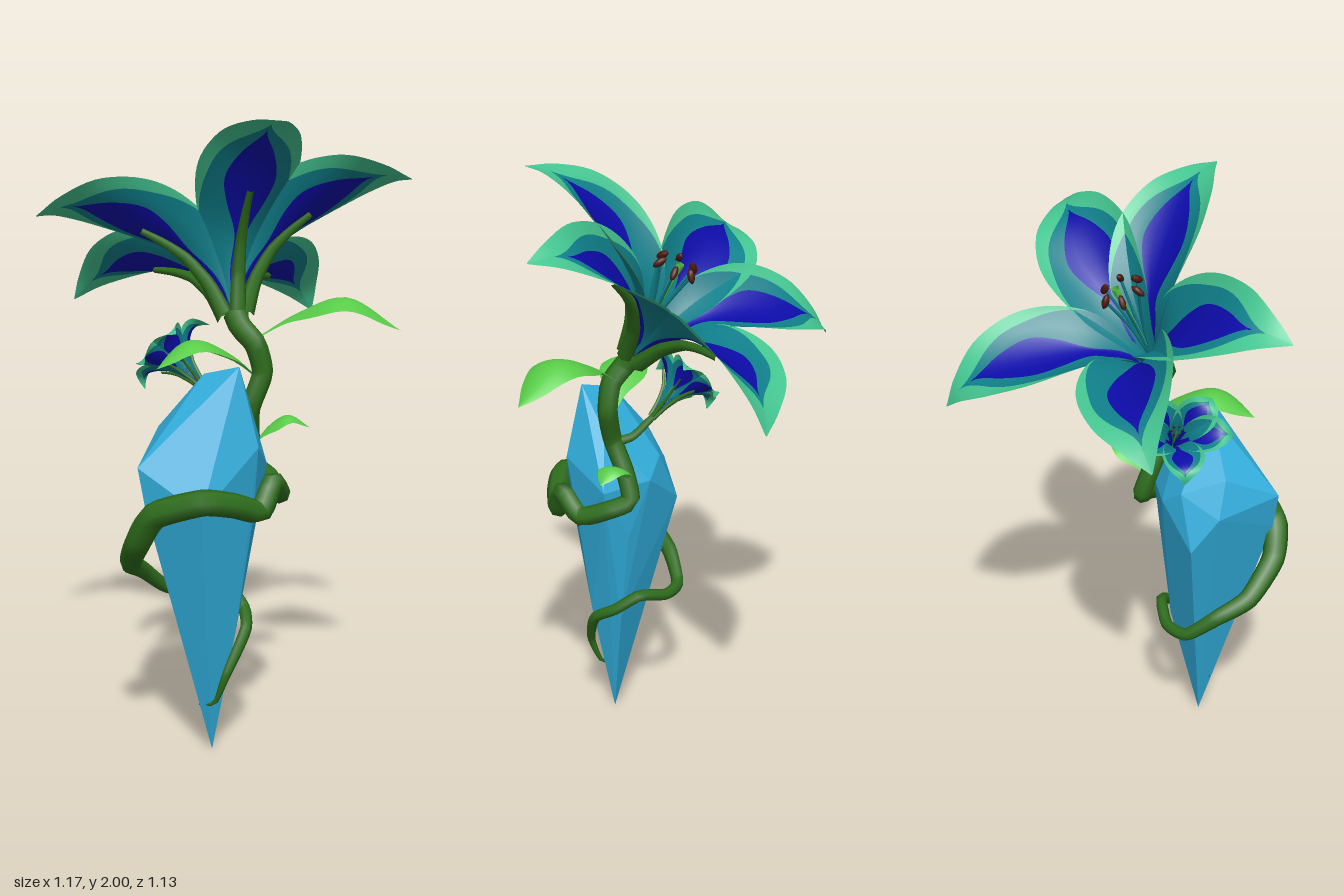
import * as THREE from 'three';
import { ConvexGeometry } from 'three/addons/geometries/ConvexGeometry.js';

const V = (x, y, z) => new THREE.Vector3(x, y, z);
const mat = (name, color, extra = {}) => {
  const m = new THREE.MeshStandardMaterial({ color, ...extra });
  m.name = name;
  return m;
};
const open = { side: THREE.DoubleSide };
const M = {
  rim: mat('petal green', 0x44c490, open),
  teal: mat('petal teal', 0x0f7f8a, open),
  blue: mat('petal blue', 0x0c0ba8, open),
  stem: mat('stem green', 0x2e6c1c),
  leaf: mat('leaf green', 0x58cc48, open),
  anther: mat('anther brown', 0x4c1a10),
  crystal: mat('crystal blue', 0x30acda, { flatShading: true }),
};

function add(parent, name, geometry, material) {
  const mesh = new THREE.Mesh(geometry, material);
  mesh.name = name;
  parent.add(mesh);
  return mesh;
}

// Smooth (Hermite) interpolation through [t, value] pairs, never negative
function ramp(keys) {
  const slope = (i) => {
    const a = keys[Math.max(i - 1, 0)], b = keys[Math.min(i + 1, keys.length - 1)];
    return (b[1] - a[1]) / (b[0] - a[0]);
  };
  return (t) => {
    let i = 0;
    while (i < keys.length - 2 && t > keys[i + 1][0]) i++;
    const [a, va] = keys[i], [b, vb] = keys[i + 1], h = b - a;
    const s = Math.min((t - a) / h, 1), r = 1 - s;
    return Math.max(0, r * r * (1 + 2 * s) * va + s * s * (3 - 2 * s) * vb
      + h * s * r * (r * slope(i) - s * slope(i + 1)));
  };
}

// Grid surface; bandOf(column) chooses the material index
function sheet(rows, cols, point, bandOf) {
  const pos = [], index = [], lists = [[], [], []];
  for (let i = 0; i <= rows; i++)
    for (let j = 0; j <= cols; j++) pos.push(...point(i / rows, j).toArray());
  for (let i = 0; i < rows; i++)
    for (let j = 0; j < cols; j++) {
      const a = i * (cols + 1) + j, b = a + cols + 1;
      lists[bandOf(j)].push(a, a + 1, b, a + 1, b + 1, b);
    }
  const g = new THREE.BufferGeometry();
  lists.forEach((list, k) => {
    g.addGroup(index.length, list.length, k);
    index.push(...list);
  });
  g.setAttribute('position', new THREE.Float32BufferAttribute(pos, 3));
  g.setIndex(index);
  g.computeVertexNormals();
  return g;
}

// Tube whose radius varies along its length
function taperTube(points, radius, segments = 24, sides = 7) {
  const curve = new THREE.CatmullRomCurve3(points, false, 'catmullrom', 0.3);
  const g = new THREE.TubeGeometry(curve, segments, 1, sides, false);
  const p = g.attributes.position, v = V(0, 0, 0);
  for (let i = 0; i < p.count; i++) {
    const t = Math.floor(i / (sides + 1)) / segments;
    const c = curve.getPointAt(t);
    v.fromBufferAttribute(p, i).sub(c).multiplyScalar(radius(t)).add(c);
    p.setXYZ(i, v.x, v.y, v.z);
  }
  return g;
}

// Petal: trumpet profile in (outward z, axis y) with a drooping tip and nested colour bands
const profile = new THREE.CatmullRomCurve3([
  V(0, 0, 0.012), V(0, 0.1, 0.055), V(0, 0.205, 0.14), V(0, 0.29, 0.3),
  V(0, 0.335, 0.46), V(0, 0.322, 0.56), V(0, 0.285, 0.625),
]);
const petalWidth = ramp([[0, 0.018], [0.16, 0.055], [0.36, 0.128], [0.57, 0.16], [0.75, 0.128], [0.9, 0.054], [1, 0.002]]);
const blueBand = ramp([[0, 0.45], [0.15, 0.38], [0.3, 0.15], [0.45, 0.4], [0.56, 0.5], [0.7, 0.34], [0.83, 0], [1, 0]]);
const tealBand = ramp([[0, 1], [0.3, 1], [0.55, 0.82], [0.72, 0.66], [0.89, 0], [1, 0]]);

function petalGeometry(breadth) {
  return sheet(36, 12, (t, j) => {
    const b1 = blueBand(t), b2 = Math.min(1, Math.max(tealBand(t), b1));
    const steps = [0, b1 / 2, b1, (b1 + b2) / 2, b2, (1 + b2) / 2, 1];
    const u = Math.sign(j - 6) * steps[Math.abs(j - 6)];
    const w = petalWidth(t), p = profile.getPointAt(t), d = profile.getTangentAt(t);
    const cup = w * u * u * (0.85 - 0.8 * t);
    return V(breadth * w * u, p.y + d.z * cup, p.z - d.y * cup);
  }, (j) => [2, 2, 1, 1, 0, 0, 0, 0, 1, 1, 2, 2][j]);
}

// Flower opening along its own y axis
function createFlower(name, breadth) {
  const flower = new THREE.Group();
  flower.name = name;
  const petal = petalGeometry(breadth);
  const ribPath = [0, 0.15, 0.3, 0.42, 0.53].map((t) => {
    const p = profile.getPointAt(t), d = profile.getTangentAt(t), gap = 0.025 - 0.02 * t;
    return V(0, p.y - d.z * gap, p.z + d.y * gap);
  });
  const rib = taperTube(ribPath, (t) => 0.028 - 0.018 * t, 12, 6);
  for (const degrees of [0, 86, 137.5, 223, 275]) {
    const a = THREE.MathUtils.degToRad(degrees);
    add(flower, 'petal', petal, [M.blue, M.teal, M.rim]).rotation.y = a;
    add(flower, 'petalRib', rib, M.stem).rotation.y = a;
  }
  // Stamens around a central pistil, leaning a little
  const centre = new THREE.Group();
  centre.name = 'stamens';
  centre.rotation.set(-0.13, 0, 0.13);
  flower.add(centre);
  const filament = taperTube([V(0, 0.02, 0), V(0, 0.2, 0.022), V(0, 0.34, 0.06)], () => 0.005, 8, 5);
  const anther = new THREE.SphereGeometry(1, 8, 6);
  for (let k = 0; k < 6; k++) {
    const stamen = new THREE.Group();
    stamen.name = 'stamen';
    stamen.rotation.y = 0.4 + (k * Math.PI) / 3;
    add(stamen, 'filament', filament, M.teal);
    const tip = add(stamen, 'anther', anther, M.anther);
    tip.scale.set(0.011, 0.012, 0.025);
    tip.position.set(0, 0.345, 0.061);
    tip.rotation.x = 0.9;
    centre.add(stamen);
  }
  add(centre, 'pistil', taperTube([V(0, 0, 0), V(0, 0.2, 0.005), V(0, 0.36, 0.015)],
    (t) => 0.007 + 0.03 * Math.max(0, t - 0.8), 10, 6), M.leaf);
  return flower;
}

// Leaf blade along a path, edges curving down from the midrib
function leafGeometry(points, half) {
  const curve = new THREE.CatmullRomCurve3(points);
  const side = points[points.length - 1].clone().sub(points[0]).cross(V(0, 1, 0)).normalize();
  const width = ramp([[0, 0.08], [0.2, 0.3], [0.5, 1], [0.8, 0.6], [1, 0.01]]);
  return sheet(18, 6, (t, j) => {
    const u = (j - 3) / 3, w = half * width(t);
    return curve.getPointAt(t).addScaledVector(side, u * w).add(V(0, -w * 0.35 * u * u, 0));
  }, () => 0);
}

export function createModel() {
  const model = new THREE.Group();
  model.name = 'crystalFlower';

  // Faceted crystal
  add(model, 'crystal', new ConvexGeometry([
    V(0.08, 0, 0.29), V(0.18, 1.265, 0.3), V(0.06, 1.235, 0.3),
    V(-0.09, 1.06, 0.32), V(-0.14, 0.94, 0.29), V(-0.135, 0.82, 0.2),
    V(-0.06, 0.97, 0.51), V(-0.04, 0.84, 0.5), V(0.14, 0.84, 0.48),
    V(0.245, 1.02, 0.3), V(0.22, 0.8, 0.28), V(0.15, 1.12, 0.21),
    V(0.02, 0.94, 0.13), V(0.2, 0.93, 0.135), V(0.1, 0.74, 0.145),
    V(-0.05, 1.0, 0.18), V(0.11, 0.42, 0.185), V(0.165, 0.42, 0.29),
  ]), M.crystal);

  // Stem and vine winding round the crystal
  add(model, 'vine', taperTube([
    V(0.08, 1.4, 0.12), V(0.11, 1.36, 0.14), V(0.16, 1.31, 0.14), V(0.18, 1.22, 0.13),
    V(0.15, 1.11, 0.155), V(0.13, 1.0, 0.11), V(0.13, 0.91, 0.08), V(0.2, 0.88, 0.11),
    V(0.265, 0.85, 0.18), V(0.28, 0.91, 0.27), V(0.265, 0.83, 0.33), V(0.22, 0.86, 0.41),
    V(0.15, 0.88, 0.49), V(0, 0.83, 0.52), V(-0.07, 0.73, 0.5), V(-0.15, 0.63, 0.4),
    V(-0.16, 0.57, 0.29), V(-0.13, 0.49, 0.19), V(-0.05, 0.485, 0.14), V(0.06, 0.51, 0.14),
    V(0.14, 0.46, 0.18), V(0.18, 0.41, 0.25), V(0.15, 0.28, 0.33), V(0.11, 0.18, 0.33),
    V(0.05, 0.16, 0.32),
  ], ramp([[0, 0.038], [0.15, 0.032], [0.3, 0.034], [0.5, 0.043], [0.6, 0.036], [0.72, 0.022], [0.9, 0.018], [1, 0.003]]),
  110, 7), M.stem);

  // Main flower, tipped back and to one side
  const axis = V(-0.33, 0.81, -0.49).normalize();
  const across = axis.clone().cross(V(0.118, -0.481, -0.87)).normalize();
  const main = createFlower('mainFlower', 1);
  main.quaternion.setFromRotationMatrix(
    new THREE.Matrix4().makeBasis(across, axis, across.clone().cross(axis)));
  main.position.set(0.08, 1.4, 0.12);
  model.add(main);

  // Small half-open flower on a side shoot
  const small = createFlower('smallFlower', 1.5);
  small.quaternion.setFromUnitVectors(V(0, 1, 0), V(-0.76, 0.65, 0).normalize());
  small.rotateY(-Math.PI / 2);
  small.scale.set(0.28, 0.53, 0.25);
  small.position.set(-0.01, 1.16, 0.155);
  model.add(small);
  add(model, 'sideShoot', taperTube([V(0.15, 1.1, 0.15), V(0.08, 1.11, 0.14), V(-0.02, 1.165, 0.155)],
    (t) => 0.018 - 0.006 * t, 12, 6), M.stem);

  // Leaves
  [
    [[V(0.16, 1.33, 0.13), V(0.28, 1.41, 0.08), V(0.42, 1.46, 0.035), V(0.58, 1.36, -0.02)], 0.095],
    [[V(0.17, 1.2, 0.13), V(0.1, 1.28, 0.19), V(0.02, 1.335, 0.29), V(-0.04, 1.26, 0.42)], 0.08],
    [[V(0.13, 0.97, 0.1), V(0.18, 1.04, 0.06), V(0.23, 1.07, 0.03), V(0.29, 1.03, 0.0)], 0.055],
  ].forEach(([points, half]) => add(model, 'leaf', leafGeometry(points, half), M.leaf));

  return model;
}
